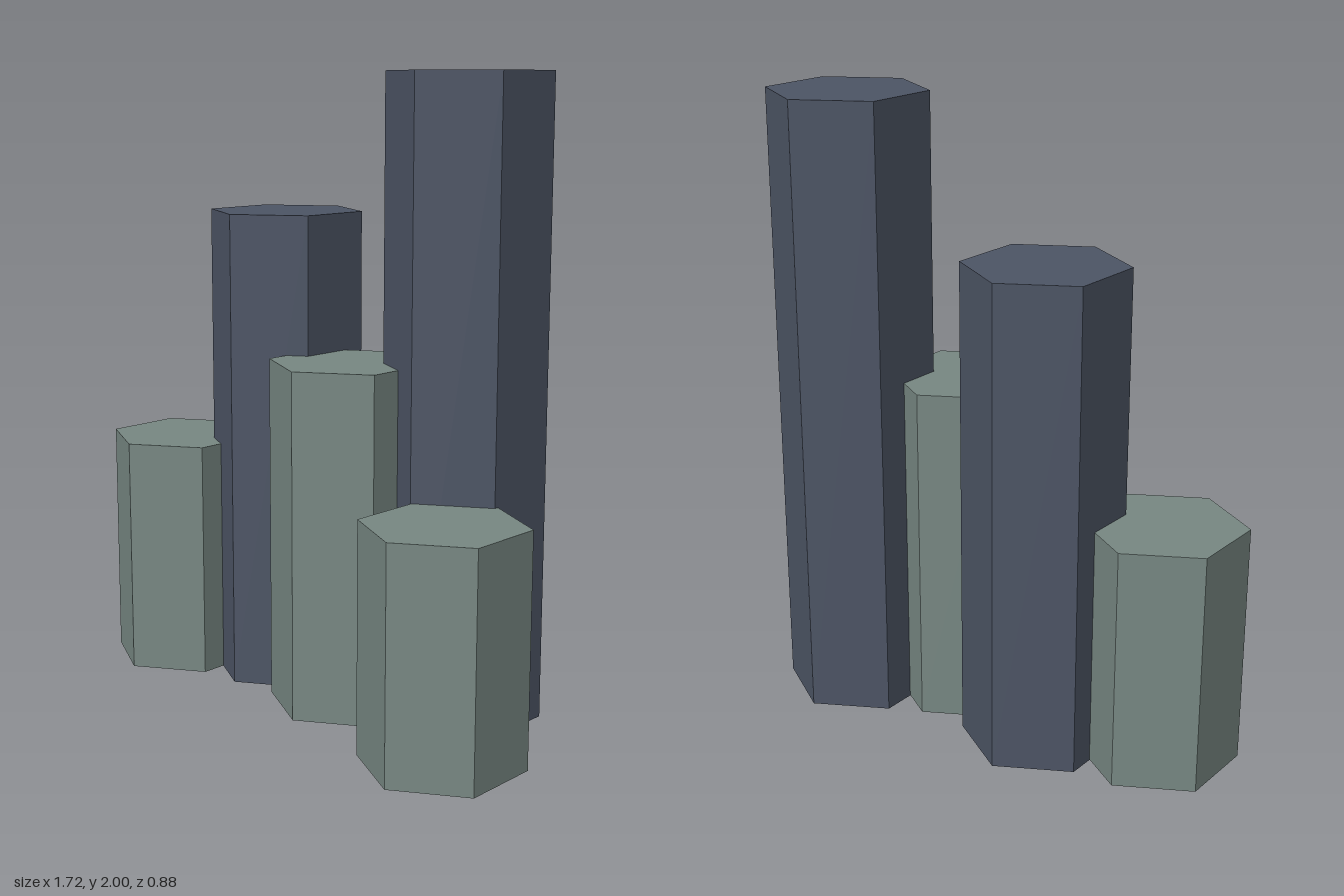
import * as THREE from 'three';

export function createModel() {
  const group = new THREE.Group();
  const slate = new THREE.MeshStandardMaterial({ color: 0x4d5565 });
  slate.name = 'darkSlate';
  const stone = new THREE.MeshStandardMaterial({ color: 0x788883 });
  stone.name = 'greyGreenStone';
  const radius = 0.254;

  // Hexagonal column with one corner pointing to the front
  function column(name, x, z, bottom, top, material) {
    const geometry = new THREE.CylinderGeometry(radius, radius, top - bottom, 6).toNonIndexed();
    geometry.computeVertexNormals(); // flat facets
    const mesh = new THREE.Mesh(geometry, material);
    mesh.name = name;
    mesh.position.set(x, (top + bottom) / 2, z);
    group.add(mesh);
  }

  // Tall dark columns at the back
  column('tallColumnLeft', 0.415, -0.185, 0, 2, slate);
  column('tallColumnRight', -0.285, -0.12, 0, 1.555, slate);

  // Short pale columns, bases raised a hair so overlapping undersides stay clean
  column('shortColumnRight', -0.64, 0.015, 0.002, 0.78, stone);
  column('shortColumnMiddle', 0.093, -0.008, 0.002, 1.11, stone);
  column('shortColumnLeft', 0.637, 0.182, 0.002, 0.725, stone);

  return group;
}
